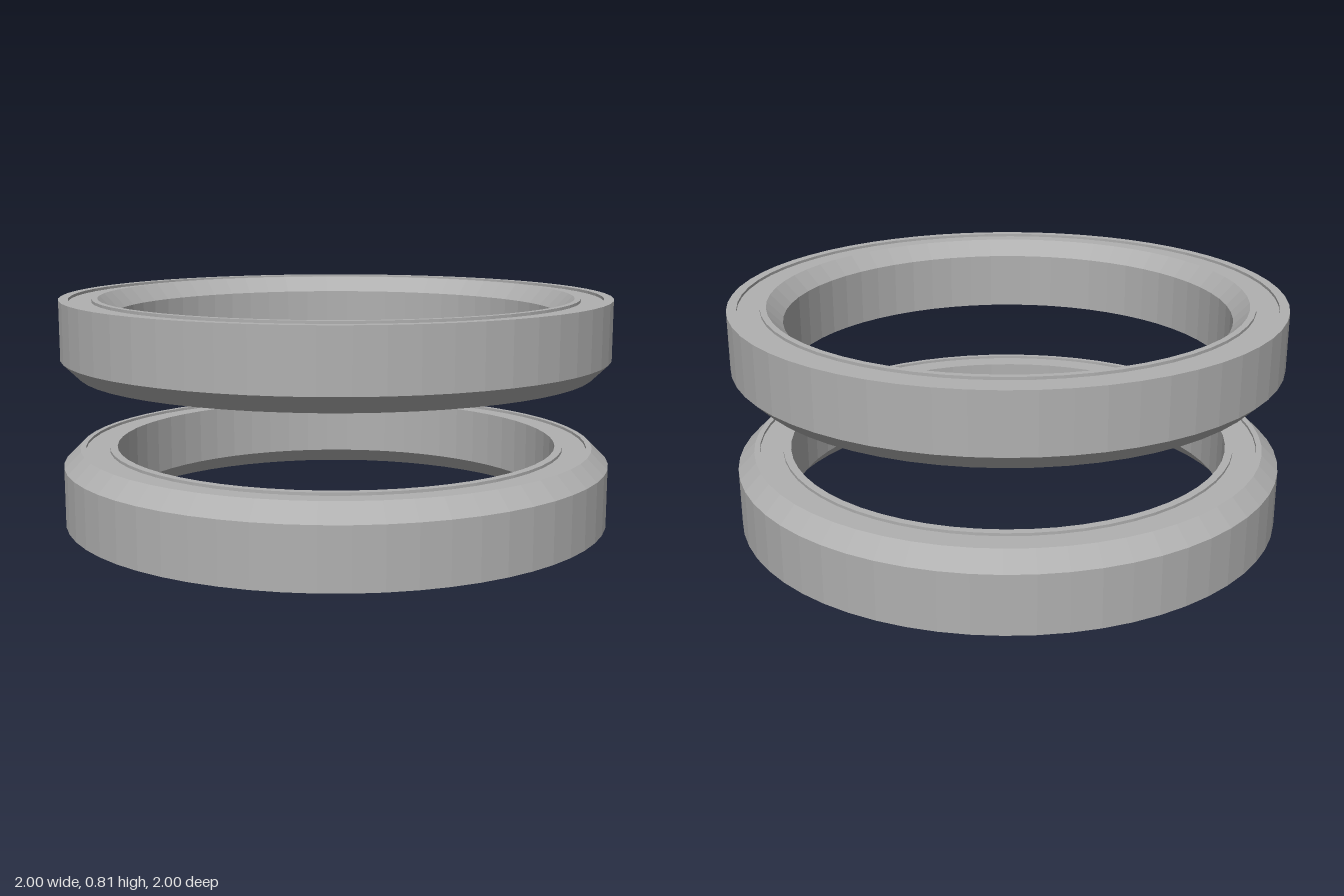
import * as THREE from 'three';

const SIDES = 60;

// Faceted ring turned from a closed (radius, height) profile, listed counterclockwise
function turnedRing(name, profile, material) {
  const points = [...profile, profile[0]].map(([r, y]) => new THREE.Vector2(r, y));
  const geometry = new THREE.LatheGeometry(points, SIDES).toNonIndexed();
  geometry.computeVertexNormals();
  const mesh = new THREE.Mesh(geometry, material);
  mesh.name = name;
  return mesh;
}

// Shallow groove in a top face, from the outer radius inwards
const groove = (outer, inner, y, depth = 0.01) => [
  [outer, y], [outer, y - depth], [inner, y - depth], [inner, y],
];

export function createModel() {
  const model = new THREE.Group();
  model.name = 'ringPair';
  const grey = new THREE.MeshStandardMaterial({ color: 0xb0b0b0 });
  grey.name = 'grey';

  // Lower ring: bevelled outside at the top, bevelled inside at the bottom
  model.add(turnedRing('lowerRing', [
    [0.863, 0], [1, 0], [1, 0.213], [0.94, 0.272],
    ...groove(0.92, 0.835, 0.272),
    [0.807, 0.272], [0.807, 0.058],
  ], grey));

  // Upper ring: bevelled outside at the bottom, bevelled inside at the top
  model.add(turnedRing('upperRing', [
    [0.807, 0.542], [0.94, 0.542], [1, 0.601], [1, 0.813],
    ...groove(0.965, 0.885, 0.813),
    [0.863, 0.813], [0.807, 0.755],
  ], grey));

  return model;
}
